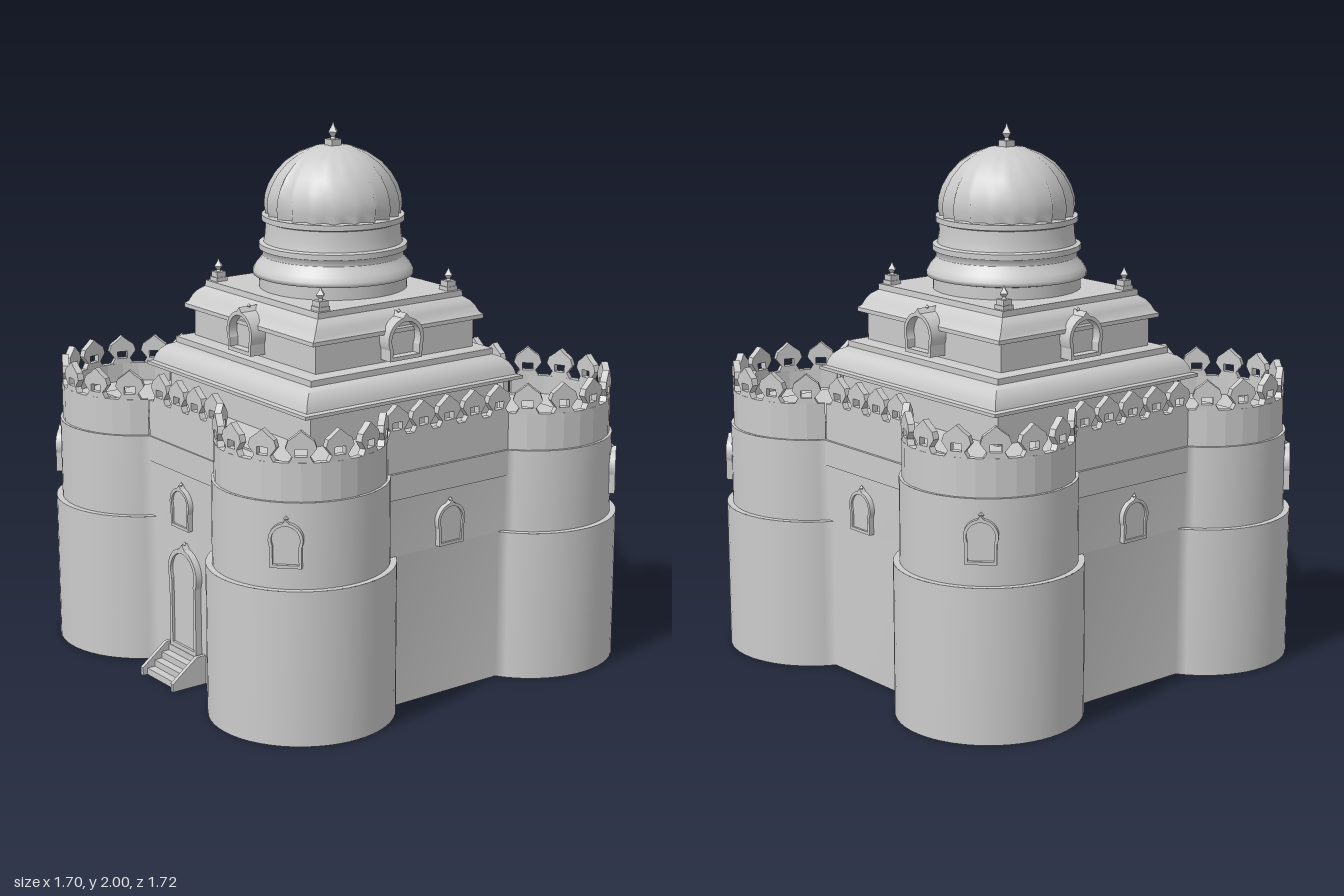
import * as THREE from 'three';
import { toCreasedNormals } from 'three/addons/utils/BufferGeometryUtils.js';

const smooth = new THREE.MeshStandardMaterial({ color: 0xcccccc, side: THREE.DoubleSide });
const flat = new THREE.MeshStandardMaterial({ color: 0xcccccc, side: THREE.DoubleSide, flatShading: true });

const CX = 0.515, CZ = 0.523;     // tower centres
const WX = 0.686, WZ = 0.662;     // outer faces of the straight walls
const QUADS = [[-1, 1], [-1, -1], [1, -1], [1, 1]];

export function createModel() {
  const root = new THREE.Group();

  const add = (name, geo, mat = flat, x = 0, y = 0, z = 0, ry = 0) => {
    const m = new THREE.Mesh(geo, mat);
    m.name = name;
    m.position.set(x, y, z);
    m.rotation.y = ry;
    root.add(m);
  };
  const box = (name, x0, x1, y0, y1, z0, z1) =>
    add(name, new THREE.BoxGeometry(x1 - x0, y1 - y0, z1 - z0), flat, (x0 + x1) / 2, (y0 + y1) / 2, (z0 + z1) / 2);
  const extrude = (shape, depth) =>
    new THREE.ExtrudeGeometry(shape, { depth, bevelEnabled: false, curveSegments: 10 });

  // angles at which a tower circle leaves the front/back wall and the side wall
  const span = (r) => [Math.asin((WZ - CZ) / r), 2 * Math.PI - Math.acos(-(WX - CX) / r)];
  const onTower = (sx, sz, r, a) => [sx * CX - sx * r * Math.cos(a), sz * CZ + sz * r * Math.sin(a)];

  // four-lobed plan of towers joined by straight walls
  function plan(r, n = 32) {
    const pts = [], [a1, a2] = span(r);
    QUADS.forEach(([sx, sz], q) => {
      for (let i = 0; i <= n; i++) {
        const t = q % 2 ? 1 - i / n : i / n;
        pts.push(onTower(sx, sz, r, a1 + (a2 - a1) * t));
      }
    });
    return pts;
  }
  // hollow body with a disc closing each tower
  function shell(name, r, y0, y1) {
    const pos = [], idx = [], pts = plan(r), total = pts.length;
    pts.forEach(([x, z]) => pos.push(x, y0, z, x, y1, z));
    for (let i = 0; i < total; i++) {
      const a = 2 * i, b = 2 * ((i + 1) % total);
      idx.push(a, a + 1, b, b, a + 1, b + 1);
    }
    const g = new THREE.BufferGeometry();
    g.setAttribute('position', new THREE.Float32BufferAttribute(pos, 3));
    g.setIndex(idx);
    g.computeVertexNormals();
    add(name, g, smooth);
    for (const [sx, sz] of QUADS)
      add('towerDisc', new THREE.CircleGeometry(r, 48).rotateX(-Math.PI / 2), flat, sx * CX, y1, sz * CZ);
  }
  shell('lowerBody', 0.335, 0, 0.56);
  shell('upperBody', 0.312, 0.56, 0.865);

  // roof floor inside the parapets
  const floor = new THREE.Shape(plan(0.29).map(([x, z]) => new THREE.Vector2(x * 0.995, -z * 0.995)));
  add('roofFloor', extrude(floor, 0.06).rotateX(-Math.PI / 2), flat, 0, 0.868, 0);
  box('terrace', -0.66, 0.66, 0.9, 0.935, -0.625, 0.61);

  // merlon with a small square loophole
  const ms = new THREE.Shape();
  ms.moveTo(-0.042, 0);
  [[0.042, 0], [0.03, 0.02], [0.053, 0.05], [0.045, 0.075], [0.02, 0.093], [0, 0.11],
    [-0.02, 0.093], [-0.045, 0.075], [-0.053, 0.05], [-0.03, 0.02]].forEach(p => ms.lineTo(...p));
  ms.closePath();
  ms.holes.push(new THREE.Path([[-0.02, 0.02], [-0.02, 0.048], [0.02, 0.048], [0.02, 0.02]]
    .map(p => new THREE.Vector2(...p))));
  const merlonGeo = extrude(ms, 0.025).translate(0, 0, -0.0125);
  const merlon = (x, z, ry) => add('merlon', merlonGeo, flat, x, 1, z, ry);

  // tower parapets
  const [p1, p2] = span(0.3), N = 8;
  for (const [sx, sz] of QUADS) {
    const pts = [];
    const arcPoint = (r, t) => {
      const [x, z] = onTower(sx, sz, r, p1 + (p2 - p1) * t);
      pts.push(new THREE.Vector2(x, -z));
    };
    for (let i = 0; i <= 2 * N; i++) arcPoint(0.302, i / (2 * N));
    for (let i = 2 * N; i >= 0; i--) arcPoint(0.277, i / (2 * N));
    add('towerParapet', extrude(new THREE.Shape(pts), 0.135).rotateX(-Math.PI / 2), flat, 0, 0.865, 0);
    for (let i = 0; i < N; i++) {
      const [x, z] = onTower(sx, sz, 0.287, p1 + (p2 - p1) * (i + 0.5) / N);
      merlon(x, z, Math.atan2(x - sx * CX, z - sz * CZ));
    }
  }

  // straight parapets with a string band below
  for (const s of [-1, 1]) {
    const zo = s * WZ, xo = s * WX;
    box('wallParapet', -0.243, 0.243, 0.86, 1, Math.min(zo, zo - s * 0.025), Math.max(zo, zo - s * 0.025));
    box('wallBand', -0.243, 0.243, 0.77, 0.865, zo - 0.01, zo + 0.006);
    box('sideParapet', Math.min(xo, xo - s * 0.025), Math.max(xo, xo - s * 0.025), 0.86, 1, -0.288, 0.288);
    box('sideBand', xo - 0.01, xo + 0.01, 0.77, 0.865, -0.288, 0.288);
    for (let i = 0; i < 4; i++) merlon((i - 1.5) * 0.116, zo - s * 0.0125, 0);
    for (let i = 0; i < 5; i++) merlon(xo - s * 0.0125, (i - 2) * 0.116, Math.PI / 2);
  }

  // horseshoe arch outline; b is the angle at which the curve turns into the tip
  function archPath(Type, w, h, base, yc, b) {
    const p = new Type(), a = 0.42;
    p.moveTo(-w * Math.cos(a), base);
    p.lineTo(w * Math.cos(a), base);
    p.lineTo(w * Math.cos(a), yc - w * Math.sin(a));
    p.absarc(0, yc, w, -a, b, false);
    p.lineTo(0, h);
    p.absarc(0, yc, w, Math.PI - b, Math.PI + a, false);
    p.closePath();
    return p;
  }
  function arch(name, w, h, depth, x, y, z, ry) {
    const g = new THREE.Group(), yc = h - w * 1.2, t = w * 0.18;
    const frame = archPath(THREE.Shape, w, h, 0, yc, 1.38);
    frame.holes.push(archPath(THREE.Path, w - t, yc + w - t, t, yc, 1.5));
    const f = new THREE.Mesh(extrude(frame, depth), flat);
    f.name = name + 'Frame';
    const panel = new THREE.Mesh(extrude(archPath(THREE.Shape, w - t / 2, yc + w - t / 2, t / 2, yc, 1.5), depth * 0.6), flat);
    panel.name = name + 'Panel';
    const tip = new THREE.Mesh(new THREE.OctahedronGeometry(0.01), flat);
    tip.name = name + 'Tip';
    tip.position.set(0, h, depth / 2);
    g.add(f, panel, tip);
    g.name = name;
    g.position.set(x, y, z);
    g.rotation.y = ry;
    root.add(g);
  }
  for (const [sx, sz] of QUADS) {
    const k = 0.295 * Math.SQRT1_2;
    arch('towerWindow', 0.06, 0.17, 0.035, sx * (CX + k), 0.64, sz * (CZ + k), Math.atan2(sx, sz));
  }
  for (let i = 0; i < 4; i++) {
    const ry = i * Math.PI / 2, s = Math.sin(ry), c = Math.cos(ry);
    arch('wallWindow', 0.062, 0.165, 0.02, s * (WX + 0.001) - 0.02 * c, 0.565, c * (WZ + 0.001), ry);
    arch('dormer', 0.08, 0.17, 0.09, s * 0.35, 1.19, c * 0.335, ry);
  }

  // entrance door and steps
  arch('door', 0.094, 0.41, 0.025, 0, 0.1, WZ + 0.001, 0);
  for (let i = 0; i < 4; i++) box('step', -0.1, 0.1, 0.075 - i * 0.025, 0.1 - i * 0.025, WZ, 0.69 + i * 0.032);
  for (const s of [-1, 1]) {
    const cheek = new THREE.Shape([[WZ, 0], [0.805, 0], [0.805, 0.03], [0.7, 0.11], [WZ, 0.11]]
      .map(p => new THREE.Vector2(-p[0], p[1])));
    add('stepCheek', extrude(cheek, 0.016).rotateY(Math.PI / 2), flat, s * 0.102 - 0.008, 0, 0);
  }

  // rectangular tiers lofted from [halfX, halfZ, y] sections
  function tier(name, rows) {
    const pos = [], idx = [];
    rows.forEach(([x, z, y]) => pos.push(-x, y, z, x, y, z, x, y, -z, -x, y, -z));
    for (let r = 0; r < rows.length - 1; r++) for (let k = 0; k < 4; k++) {
      const a = 4 * r + k, b = 4 * r + (k + 1) % 4;
      idx.push(a, b, b + 4, a, b + 4, a + 4);
    }
    const t = 4 * (rows.length - 1);
    idx.push(t, t + 1, t + 2, t, t + 2, t + 3);
    const g = new THREE.BufferGeometry();
    g.setAttribute('position', new THREE.Float32BufferAttribute(pos, 3));
    g.setIndex(idx);
    add(name, toCreasedNormals(g.toNonIndexed(), 0.62), smooth, 0, 0, 0.003);
  }
  tier('lowerTier', [[0.45, 0.43, 0.9], [0.45, 0.43, 1.05], [0.513, 0.497, 1.06], [0.513, 0.497, 1.072], [0.495, 0.48, 1.076],
    [0.488, 0.473, 1.1], [0.475, 0.46, 1.122], [0.457, 0.442, 1.139], [0.434, 0.416, 1.15],
    [0.434, 0.416, 1.172], [0.415, 0.4, 1.178], [0.385, 0.36, 1.178]]);
  tier('upperTier', [[0.385, 0.36, 1.17], [0.385, 0.36, 1.28], [0.41, 0.39, 1.285], [0.41, 0.39, 1.3], [0.4, 0.377, 1.31],
    [0.391, 0.364, 1.335], [0.378, 0.35, 1.353], [0.358, 0.33, 1.368], [0.358, 0.328, 1.39]]);

  // drum as short lathes so that the mouldings keep sharp edges
  const v = (a) => a.map(p => new THREE.Vector2(...p));
  [[[0.275, 1.385], [0.275, 1.435]], [[0.275, 1.435], [0.298, 1.44], [0.298, 1.455], [0.287, 1.475], [0.27, 1.495], [0.262, 1.51]],
    [[0.262, 1.51], [0.262, 1.53], [0.275, 1.535]], [[0.275, 1.535], [0.275, 1.555]],
    [[0.275, 1.555], [0.258, 1.56]], [[0.258, 1.56], [0.252, 1.59], [0.25, 1.635]],
    [[0.25, 1.635], [0.264, 1.64]], [[0.264, 1.64], [0.264, 1.66]], [[0.264, 1.66], [0, 1.661]],
  ].forEach(p => add('drum', new THREE.LatheGeometry(v(p), 48), smooth));

  // pleated dome, the pleats fading towards the crown
  const domeProfile = v([[0.25, 1.66], [0.255, 1.695], [0.252, 1.73], [0.239, 1.77], [0.214, 1.813],
    [0.178, 1.853], [0.13, 1.885], [0.07, 1.908], [0, 1.915]]);
  const dome = new THREE.LatheGeometry(domeProfile, 40);
  const dp = dome.attributes.position;
  for (let i = 0; i < dp.count; i++) {
    const fade = Math.sqrt(Math.max(0, (1.915 - dp.getY(i)) / 0.255));
    const k = Math.floor(i / domeProfile.length) % 2 ? 1 - 0.13 * fade : 1;
    dp.setX(i, dp.getX(i) * k);
    dp.setZ(i, dp.getZ(i) * k);
  }
  dome.computeVertexNormals();
  add('dome', dome, smooth);

  // spiked finials
  function finial(x, y, z, w, h) {
    box('finialBase', x - w / 2, x + w / 2, y, y + 0.025, z - w / 2, z + w / 2);
    add('finialSpike', new THREE.LatheGeometry(v([[w * 0.3, 0], [w * 0.22, h * 0.15], [w * 0.5, h * 0.4],
      [w * 0.2, h * 0.7], [0, h]]), 4), flat, x, y + 0.025, z);
  }
  finial(0, 1.91, 0, 0.044, 0.065);
  for (const [sx, sz] of QUADS) {
    const x = sx * 0.322, z = sz * 0.292 + 0.003;
    box('finialPlinth', x - 0.024, x + 0.024, 1.385, 1.405, z - 0.024, z + 0.024);
    finial(x, 1.4, z, 0.04, 0.05);
  }
  return root;
}
